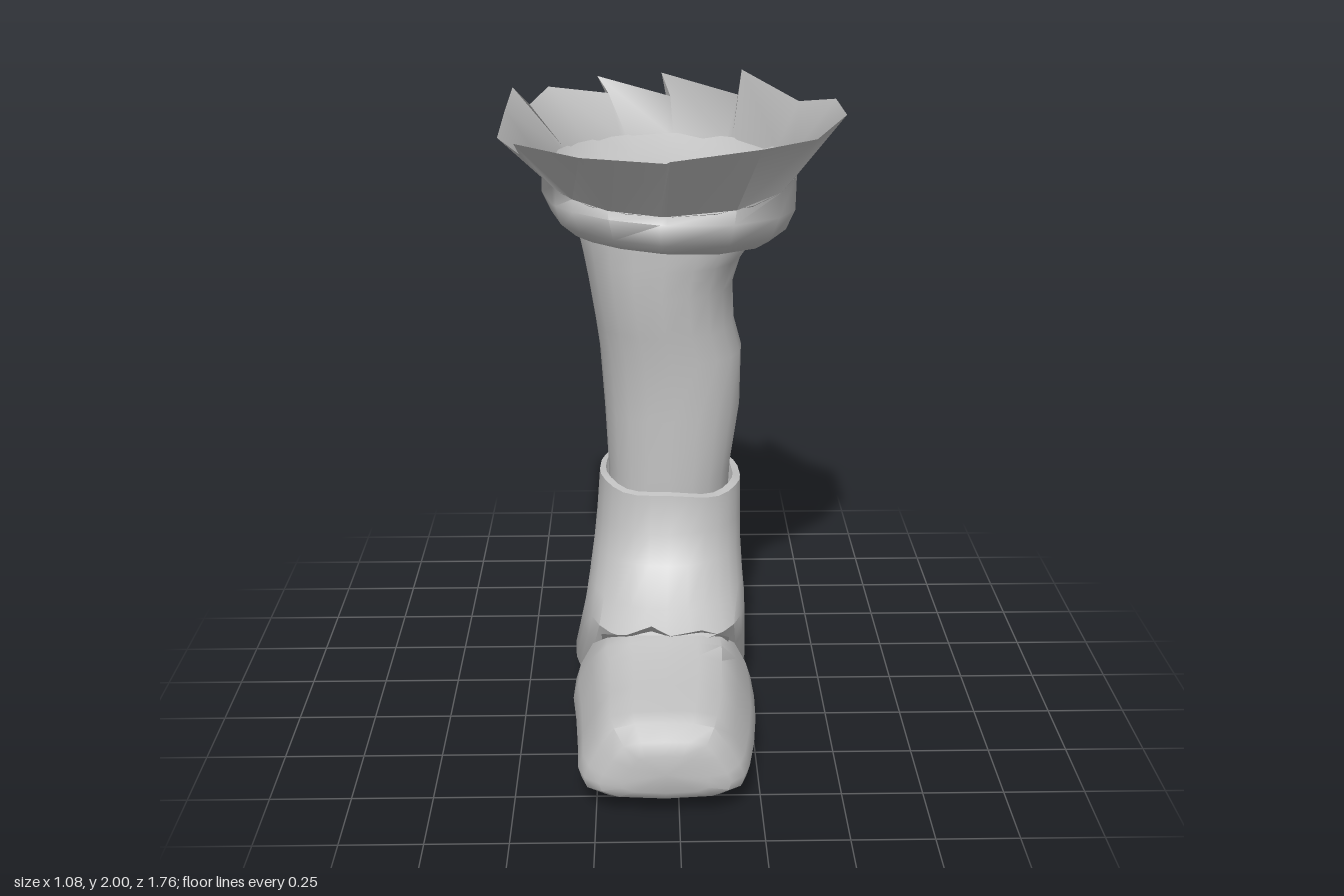
import * as THREE from 'three';
import { toCreasedNormals } from 'three/addons/utils/BufferGeometryUtils.js';

const greyLeather = new THREE.MeshStandardMaterial({ color: 0xc0c0c0, side: THREE.DoubleSide });
greyLeather.name = 'grey leather';

// Joins closed rings of points into a skin, with optional end caps.
function loft(name, rings, capStart, capEnd, crease = 0.8) {
  const n = rings[0].length;
  const pos = rings.flat(2);
  const idx = [];
  for (let i = 0; i < rings.length - 1; i++) {
    for (let j = 0; j < n; j++) {
      const k = (j + 1) % n;
      const a = i * n + j, b = i * n + k;
      idx.push(a, a + n, b, b, a + n, b + n);
    }
  }
  const cap = (r, flip) => {
    const c = pos.length / 3;
    for (let d = 0; d < 3; d++) pos.push(rings[r].reduce((s, p) => s + p[d], 0) / n);
    for (let j = 0; j < n; j++) {
      const a = r * n + j, b = r * n + (j + 1) % n;
      if (flip) idx.push(c, a, b); else idx.push(c, b, a);
    }
  };
  if (capStart) cap(0, true);
  if (capEnd) cap(rings.length - 1, false);
  const g = new THREE.BufferGeometry();
  g.setAttribute('position', new THREE.Float32BufferAttribute(pos, 3));
  g.setIndex(idx);
  const mesh = new THREE.Mesh(toCreasedNormals(g, crease), greyLeather);
  mesh.name = name;
  return mesh;
}

// Rounded horizontal ring from its limits: y, min x, max x, back z, front z.
// A power under 1 squares the corners, at the back and front separately.
function ring([y, x0, x1, z0, z1], angles, back = 1, front = back, wobble = () => 0) {
  return angles.map(a => {
    const power = Math.sin(a) > 0 ? front : back;
    const soft = v => Math.sign(v) * Math.abs(v) ** power;
    return [
      (x0 + x1) / 2 + (x1 - x0) / 2 * soft(Math.cos(a)),
      y + wobble(a),
      (z0 + z1) / 2 + (z1 - z0) / 2 * soft(Math.sin(a)),
    ];
  });
}
const around = n => Array.from({ length: n }, (_, i) => i / n * Math.PI * 2);

const legAngles = around(20);
const collar = ring([1.67, -0.32, 0.28, -0.54, 0.12], legAngles, 0.9, 0.9, a => 0.015 * Math.sin(3 * a + 1));

function makeLeg() {
  const rings = [
    [0.70, -0.22, 0.185, -0.315, 0.11],
    [0.78, -0.22, 0.19, -0.32, 0.11],
    [0.98, -0.23, 0.22, -0.33, 0.10],
    [1.18, -0.245, 0.225, -0.385, 0.10],
    [1.27, -0.258, 0.20, -0.42, 0.11],
    [1.40, -0.28, 0.195, -0.465, 0.118],
    [1.49, -0.298, 0.225, -0.50, 0.12],
    [1.56, -0.315, 0.275, -0.53, 0.12],
  ].map(r => ring(r, legAngles, 0.87));
  return loft('legShaft', [...rings, collar], false, false);
}

// Shallow floor just inside the opening
function makeFloor() {
  return loft('innerFloor', [ring([1.55, -0.31, 0.265, -0.525, 0.118], legAngles, 0.9),
    ring([1.53, -0.15, 0.12, -0.36, -0.04], legAngles)], false, true);
}

function makeAnkle() {
  const angles = around(28);
  // ring limits, then the squareness of the back and the front
  const rings = [
    [0.005, -0.20, 0.14, -0.25, 0.12, 0.8, 0.65],
    [0.035, -0.31, 0.22, -0.34, 0.22, 0.8, 0.65],
    [0.12, -0.34, 0.245, -0.38, 0.24, 0.82, 0.65],
    [0.27, -0.31, 0.24, -0.365, 0.35, 0.78, 0.7],
    [0.37, -0.295, 0.235, -0.345, 0.44, 0.72, 0.8],
    [0.43, -0.285, 0.23, -0.32, 0.34, 0.68, 0.9],
    [0.53, -0.27, 0.225, -0.315, 0.215, 0.64, 0.9],
    [0.62, -0.26, 0.225, -0.33, 0.16, 0.62, 0.88],
    [0.74, -0.25, 0.225, -0.34, 0.14, 0.62, 0.88],
    [0.745, -0.23, 0.20, -0.325, 0.118, 0.62, 0.88],
  ].map((r, i) => ring(r, angles, r[5], r[6],
    a => i > 7 ? -0.012 * Math.cos(a) + 0.006 * Math.sin(5 * a) : 0));
  return loft('ankleBoot', rings, true, false);
}

function makeToe() {
  // half section: share of half width, share of height
  const half = [[0, 1], [0.36, 0.99], [0.62, 0.93], [0.8, 0.68], [0.94, 0.42], [1, 0.26], [0.96, 0.12], [0.7, 0.01], [0, -0.03]];
  const section = [...half, ...half.slice(1, -1).reverse().map(([x, y]) => [-x, y])];
  // z, min x, max x, bottom, top
  const rings = [
    [0.22, -0.33, 0.25, 0.035, 0.385],
    [0.34, -0.335, 0.255, 0.03, 0.375],
    [0.50, -0.32, 0.25, 0.05, 0.355],
    [0.66, -0.31, 0.235, 0.06, 0.335],
    [0.78, -0.305, 0.215, 0.06, 0.315],
    [0.835, -0.285, 0.195, 0.06, 0.305],
    [0.87, -0.24, 0.155, 0.075, 0.26],
    [0.885, -0.17, 0.09, 0.10, 0.22],
  ].map(([z, x0, x1, y0, y1], i) => section.map(([u, v]) => {
    const y = y0 + (y1 - y0) * v;
    // the rear edge leans forward over the instep
    const lean = i < 2 ? Math.max(0, y - 0.25) * (i ? 0.9 : 1.5) : 0;
    return [(x0 + x1) / 2 + (x1 - x0) / 2 * u, y, z + lean];
  }));
  return loft('toeCap', rings, false, true);
}

// Thin raised flap where the toe cap meets the instep
function makeFlap() {
  const top = [[-0.24, 0.36, 0.36], [-0.16, 0.39, 0.43], [-0.08, 0.43, 0.45], [-0.02, 0.385, 0.43], [0.08, 0.40, 0.42], [0.17, 0.35, 0.37]];
  const pos = [], idx = [];
  top.forEach(([x, y, z], i) => {
    pos.push(x, y, z, x, y - 0.06, z - 0.07);
    if (i) idx.push(2 * i - 2, 2 * i - 1, 2 * i, 2 * i, 2 * i - 1, 2 * i + 1);
  });
  const g = new THREE.BufferGeometry();
  g.setAttribute('position', new THREE.Float32BufferAttribute(pos, 3));
  g.setIndex(idx);
  g.computeVertexNormals();
  const flap = new THREE.Mesh(g, greyLeather);
  flap.name = 'instepFlap';
  return flap;
}

// The cuff turns from its lower bulge into the flared rim at a waist, lowest in front.
const waist = [1.77, -0.43, 0.41, -0.785, 0.28];
const waistTilt = a => -0.065 * Math.max(0, Math.sin(a));

function makeCuff() {
  // jagged upper rim
  const rim = [
    [-0.54, 1.97, -0.545], [-0.48, 1.92, -0.49], [-0.43, 1.94, -0.755], [-0.22, 1.91, -0.80],
    [-0.26, 1.96, -0.87], [0, 1.90, -0.79], [-0.03, 1.97, -0.88], [0.235, 1.92, -0.69],
    [0.25, 2.0, -0.74], [0.43, 1.93, -0.48], [0.54, 1.96, -0.34], [0.54, 1.96, -0.02],
    [0.43, 1.92, 0.18], [0.25, 1.93, 0.40], [-0.02, 1.91, 0.48], [-0.03, 1.90, 0.455],
    [-0.28, 1.92, 0.465], [-0.475, 1.94, 0.35], [-0.475, 1.87, 0.14], [-0.54, 1.92, 0.14],
    [-0.54, 1.95, -0.2],
  ];
  let last = -Math.PI;
  const angles = rim.map(([x, , z]) => {
    last = Math.max(last + 0.05, Math.atan2((z + 0.2) / 0.66, (x + 0.001) / 0.54));
    return last;
  });
  // the underside sits lower toward the back and the left side
  const tilt = a => 0.025 * Math.sin(a) - 0.02 * Math.cos(a);
  const rings = [
    [1.54, -0.31, 0.27, -0.53, 0.12],
    [1.55, -0.35, 0.32, -0.64, 0.22],
    [1.595, -0.40, 0.375, -0.745, 0.31],
    [1.66, -0.43, 0.405, -0.745, 0.315],
  ].map(r => ring(r, angles, 1.08, 1.0, tilt));
  return loft('flaredCuff', [...rings, ring(waist, angles, 1.02, 0.97, waistTilt), rim], false, false, 1.2);
}

// Lining sloping from the cuff's waist down to the leg opening
function makeLining() {
  const slope = ring([1.715, -0.40, 0.375, -0.70, 0.24], legAngles, 1.02, 0.97, a => -0.03 * Math.max(0, Math.sin(a)));
  return loft('cuffLining', [collar, slope, ring(waist, legAngles, 1.02, 0.97, waistTilt)], false, false);
}

export function createModel() {
  const boot = new THREE.Group();
  boot.name = 'boot';
  boot.add(makeLeg(), makeFloor(), makeAnkle(), makeToe(), makeFlap(), makeCuff(), makeLining());
  return boot;
}
